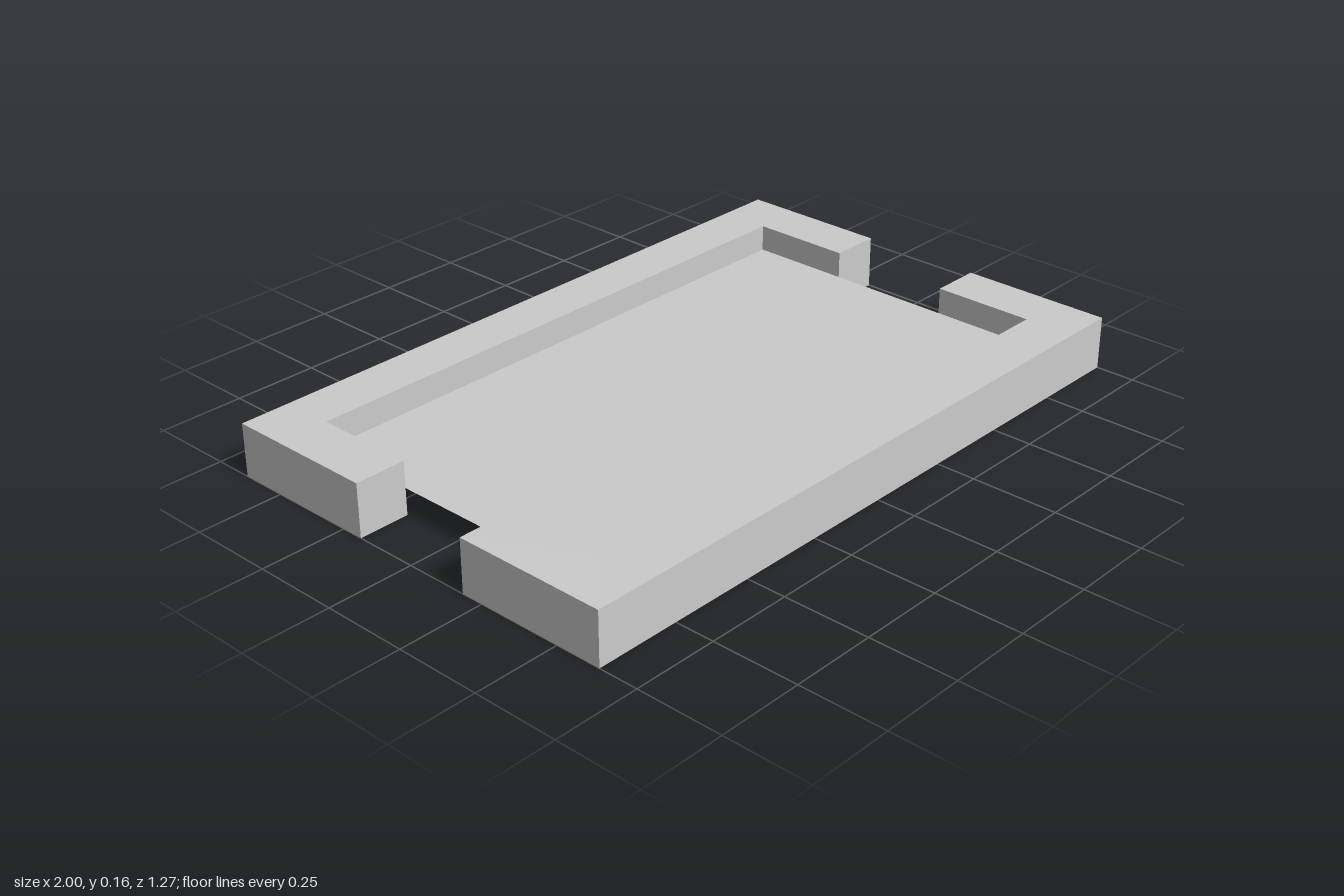
import * as THREE from 'three';

export function createModel() {
  const group = new THREE.Group();
  const material = new THREE.MeshStandardMaterial({ color: 0xcccccc, flatShading: true });
  const sheet = new THREE.MeshStandardMaterial({ color: 0xcccccc, side: THREE.DoubleSide });

  const height = 0.155, wall = 0.15;
  const outerX = 1, outerZ = 0.635, gapZ = 0.185;
  const innerX = outerX - wall, innerZ = outerZ - wall;

  // C-shaped half of the rim: a long bar with a short arm at each end
  const outline = new THREE.Shape([
    [-outerX, gapZ], [-innerX, gapZ], [-innerX, innerZ], [innerX, innerZ],
    [innerX, gapZ], [outerX, gapZ], [outerX, outerZ], [-outerX, outerZ],
  ].map(([x, z]) => new THREE.Vector2(x, z)));
  const rim = new THREE.ExtrudeGeometry(outline, { depth: height, bevelEnabled: false });
  rim.rotateX(-Math.PI / 2);

  // Back and front halves, leaving an opening in the middle of each side
  ['backRim', 'frontRim'].forEach((name, i) => {
    const half = new THREE.Mesh(rim, material);
    half.name = name;
    half.rotation.y = i * Math.PI;
    group.add(half);
  });

  // Thin panel halfway up the rim
  const panel = new THREE.Mesh(new THREE.PlaneGeometry(innerX * 2, innerZ * 2), sheet);
  panel.name = 'panel';
  panel.rotation.x = -Math.PI / 2;
  panel.position.y = height / 2;
  group.add(panel);

  return group;
}
